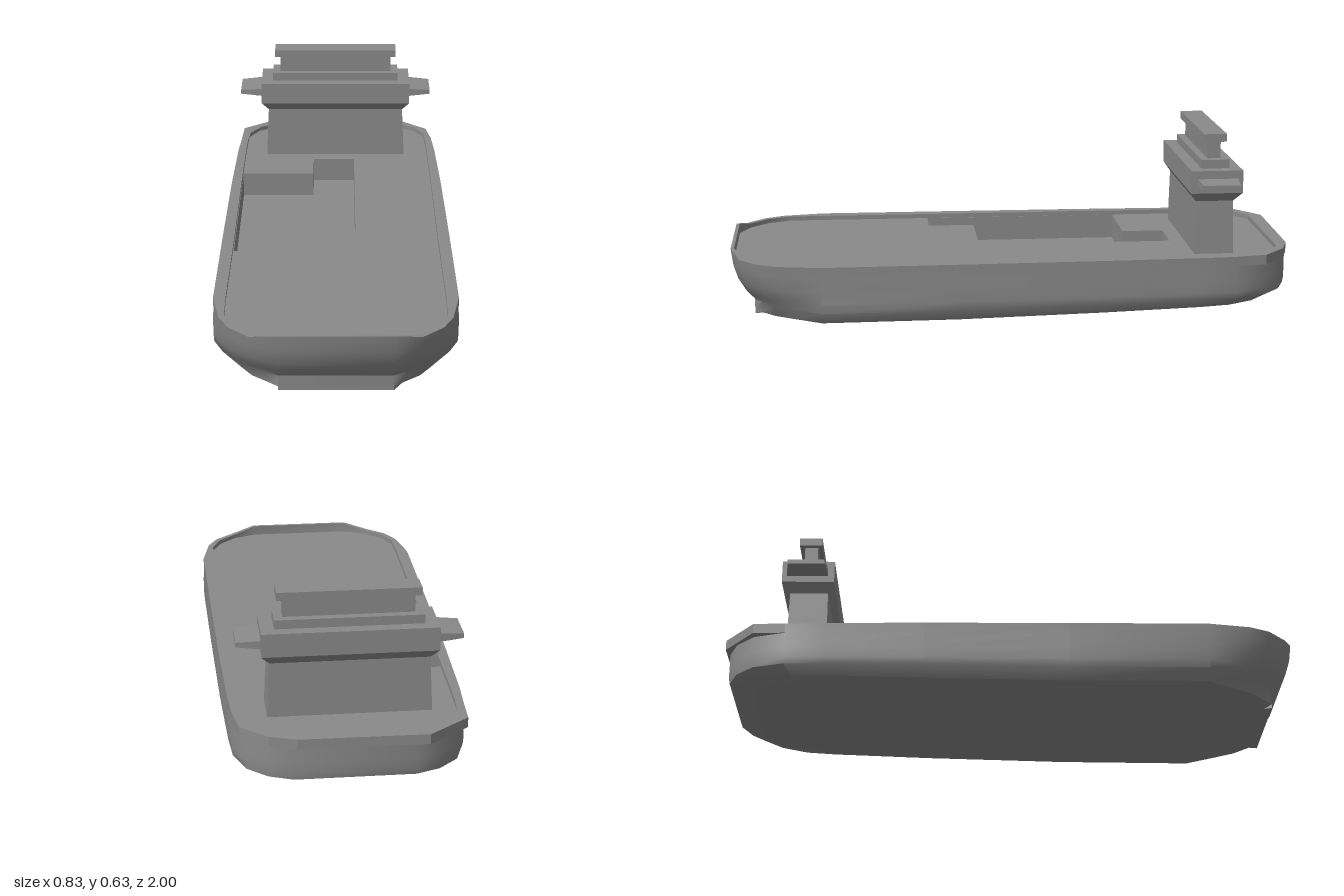
import * as THREE from 'three';
import { toCreasedNormals } from 'three/addons/utils/BufferGeometryUtils.js';

const material = new THREE.MeshStandardMaterial({ color: 0x8a8a8a, side: THREE.DoubleSide });

// Skin a stack of closed rings; caps are ladders between mirrored ring points.
function loft(rings, capBottom = true, capTop = true, crease = 0.7) {
  const n = rings[0].length, pos = [];
  const quad = (a, b, c, d) => [a, b, c, a, c, d].forEach(p => pos.push(...p));
  for (let i = 0; i < rings.length - 1; i++)
    for (let j = 0; j < n; j++) {
      const k = (j + 1) % n;
      quad(rings[i][j], rings[i][k], rings[i + 1][k], rings[i + 1][j]);
    }
  const lo = rings[0], hi = rings[rings.length - 1];
  for (let j = 0; j < n / 2 - 1; j++) {
    if (capBottom) quad(lo[n - 1 - j], lo[n - 2 - j], lo[j + 1], lo[j]);
    if (capTop) quad(hi[j], hi[j + 1], hi[n - 2 - j], hi[n - 1 - j]);
  }
  const g = new THREE.BufferGeometry();
  g.setAttribute('position', new THREE.Float32BufferAttribute(pos, 3));
  return toCreasedNormals(g, crease);
}

const mirror = half => [...half, ...half.map(([x, z]) => [-x, z]).reverse()];
const flatShape = pts => new THREE.Shape(pts.map(([x, z]) => new THREE.Vector2(x, -z)));
const rect = (y, x0, x1, z0, z1) => [[x1, y, z1], [x1, y, z0], [x0, y, z0], [x0, y, z1]];

// Half outlines from bow to stern, as [x, z]
const OUTER = [[0.19, 1], [0.28, 0.965], [0.35, 0.9], [0.385, 0.83], [0.412, 0.68], [0.408, 0.2],
  [0.402, -0.3], [0.393, -0.65], [0.385, -0.78], [0.347, -0.89], [0.28, -0.955], [0.2, -0.988]];
const INNER = [[0.185, 0.988], [0.27, 0.952], [0.335, 0.887], [0.368, 0.81], [0.37, 0.68], [0.366, 0.2],
  [0.365, -0.3], [0.362, -0.65], [0.36, -0.75], [0.357, -0.83], [0.32, -0.9], [0.24, -0.95]];
const DECK = 0.204, RIM = 0.22, PIT_FLOOR = 0.113;

// Hull level: bow and stern are pulled in, sides inset, keel rises toward the stern
function hullRing([y, bow, side, stern]) {
  return mirror(OUTER).map(([x, z]) => {
    const rise = 0.032 * Math.max(0, (0.3 - z) / 1.25) ** 1.3 * Math.max(0, 1 - y / 0.12);
    const lift = y === RIM && z > 0.99 ? 0.02 : 0;
    // The bow and stern plates keep their width; the bow shoulders narrow downward
    let inset = side * THREE.MathUtils.clamp((Math.abs(x) - 0.19) / 0.15, 0, 1);
    let zz = z;
    if (z > 0.68) zz = 0.68 + (z - 0.68) * (1 - bow / 0.32);
    if (z < -0.65) zz = -0.65 + (z + 0.65) * (1 - stern / 0.338);
    if (z > 0.68 && z < 0.99) inset += bow * 0.55;
    return [x - Math.sign(x) * Math.min(inset, Math.abs(x) - 0.18), y + rise + lift, zz];
  });
}

export function createModel() {
  const ship = new THREE.Group();
  const add = (name, geometry) => {
    const mesh = new THREE.Mesh(geometry, material);
    mesh.name = name;
    ship.add(mesh);
    return mesh;
  };

  // Hull shell, bulwark top and inner bulwark face
  const levels = [[0, 0.08, 0.11, 0.09], [0.014, 0.08, 0.028, 0.065],
    [0.055, 0.08, 0, 0.004], [0.085, 0.052, -0.002, 0], [0.13, 0.024, -0.002, 0],
    [0.18, 0.008, 0, 0], [RIM, 0, 0, 0]];
  const innerRing = y => mirror(INNER).map(([x, z]) => [x, y + (y === RIM && z > 0.98 ? 0.02 : 0), z]);
  add('hull', loft([...levels.map(hullRing), innerRing(RIM), innerRing(DECK)], true, false));

  // Overhanging stern rim
  const sternInner = mirror(INNER.slice(9));
  const sternRim = flatShape([[-0.385, -0.78], [-0.38, -0.89], [-0.24, -1], [0.19, -0.995], [0.28, -0.965],
    [0.368, -0.885], [0.385, -0.78], ...sternInner]);
  const rimGeometry = new THREE.ExtrudeGeometry(sternRim, { depth: 0.035, bevelEnabled: false });
  add('sternRim', rimGeometry.rotateX(-Math.PI / 2)).position.y = 0.1855;

  // Deck with a stepped cargo recess against the right side
  const pit = [[-0.3635, -0.44], [-0.09, -0.44], [-0.09, -0.59], [0.07, -0.59],
    [0.07, 0.11], [-0.24, 0.11], [-0.24, 0.28], [-0.3635, 0.28]];
  const deckShape = flatShape(mirror(INNER));
  deckShape.holes.push(flatShape(pit));
  add('deck', new THREE.ShapeGeometry(deckShape).rotateX(-Math.PI / 2)).position.y = DECK;
  add('recessFloor', new THREE.ShapeGeometry(flatShape(pit)).rotateX(-Math.PI / 2)).position.y = PIT_FLOOR;
  const pitRing = y => pit.map(([x, z]) => [x, y, z]);
  add('recessWalls', loft([pitRing(PIT_FLOOR), pitRing(DECK)], false, false));

  // Deckhouse tiers: name, then rows of [y, half width, back z, front z]
  const tiers = {
    deckhouse: [[DECK, 0.274, -0.785, -0.645], [0.395, 0.265, -0.782, -0.648]],
    bridge: [[0.395, 0.265, -0.782, -0.648], [0.428, 0.292, -0.811, -0.626], [0.509, 0.292, -0.811, -0.626]],
    upperStep: [[0.509, 0.247, -0.77, -0.669], [0.54, 0.247, -0.77, -0.669]],
    topNeck: [[0.54, 0.218, -0.742, -0.695], [0.603, 0.218, -0.742, -0.695]],
    topRoof: [[0.603, 0.238, -0.76, -0.679], [0.631, 0.238, -0.76, -0.679]],
  };
  for (const [name, rows] of Object.entries(tiers))
    add(name, loft(rows.map(([y, h, z0, z1]) => rect(y, -h - 0.004, h - 0.004, z0, z1)), true, true, 0.3));

  // Tapered bridge wings
  for (const s of [-1, 1]) {
    const section = (x, y0, y1, z0, z1) => {
      const ring = [[x, y0, z0], [x, y1, z0], [x, y1, z1], [x, y0, z1]];
      return s > 0 ? ring : ring.reverse();
    };
    add(s > 0 ? 'leftBridgeWing' : 'rightBridgeWing', loft([
      section(s * 0.28 - 0.004, 0.45, 0.481, -0.795, -0.648),
      section(s * 0.374 - 0.004, 0.458, 0.474, -0.785, -0.655)], true, true, 0.1));
  }
  return ship;
}
